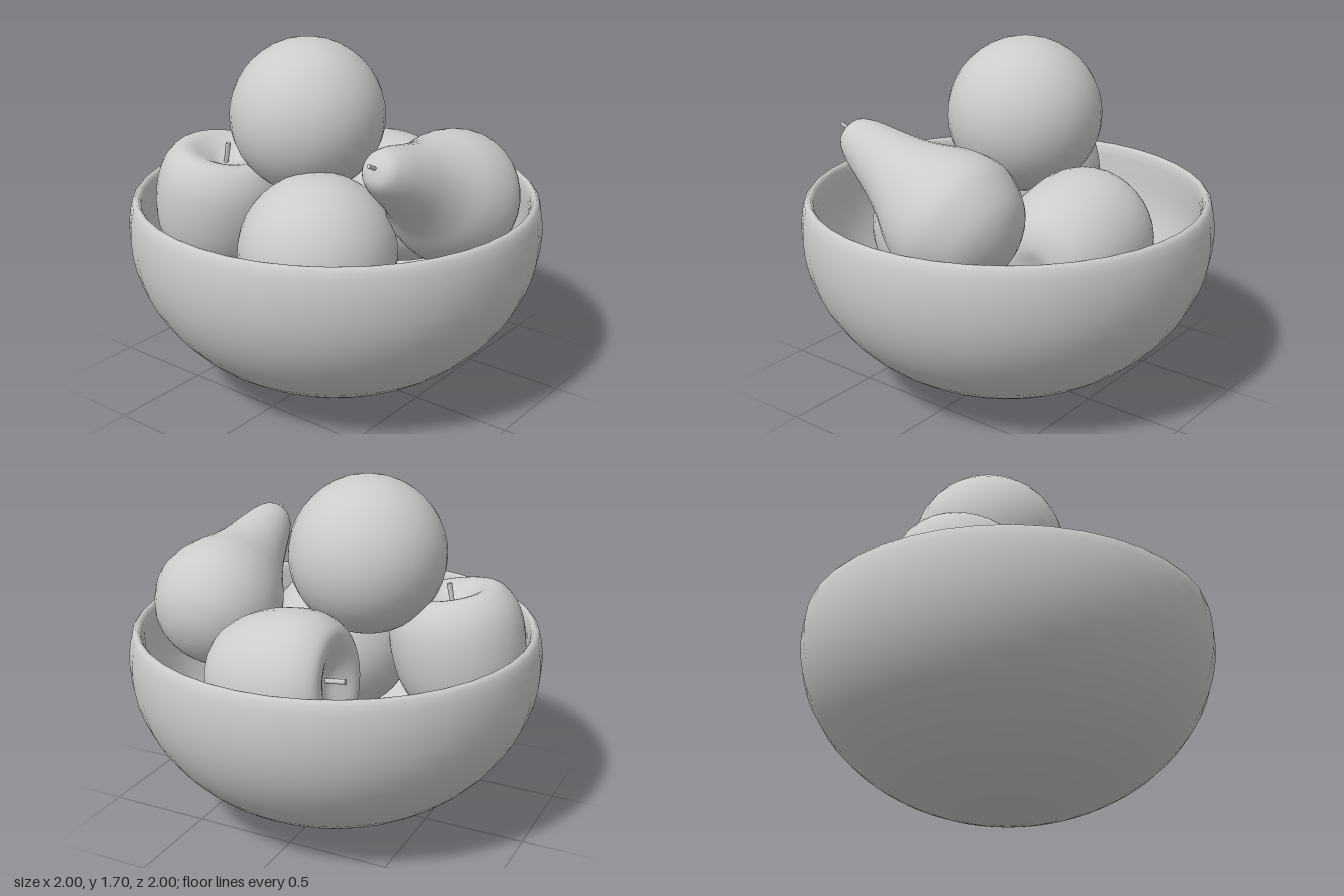
import * as THREE from 'three';

const material = new THREE.MeshStandardMaterial({ color: 0xcccccc });
const UP = new THREE.Vector3(0, 1, 0);

// Smooth solid of revolution; profile runs from the bottom pole upwards
function turned(name, profile, steps, sides) {
  const curve = new THREE.SplineCurve(profile.map(([r, y]) => new THREE.Vector2(r, y)));
  const points = curve.getPoints(steps);
  points.forEach((p) => { p.x = Math.max(p.x, 0); });
  const mesh = new THREE.Mesh(new THREE.LatheGeometry(points, sides), material);
  mesh.name = name;
  return mesh;
}

function stem(name, from, to, radius) {
  const mesh = new THREE.Mesh(new THREE.CylinderGeometry(radius * 1.2, radius, to - from, 6), material);
  mesh.name = name;
  mesh.position.y = (from + to) / 2;
  return mesh;
}

// Place a fruit with its stem axis along a direction
function place(name, parts, position, axis) {
  const group = new THREE.Group();
  group.name = name;
  group.add(...parts);
  group.position.set(...position);
  group.quaternion.setFromUnitVectors(UP, new THREE.Vector3(...axis).normalize());
  return group;
}

function orange(name, position) {
  const mesh = new THREE.Mesh(new THREE.SphereGeometry(0.377, 32, 20), material);
  mesh.name = name;
  mesh.position.set(...position);
  return mesh;
}

const APPLE = [
  [0, -0.31], [0.06, -0.325], [0.13, -0.33], [0.23, -0.275], [0.305, -0.13], [0.329, 0.04],
  [0.313, 0.18], [0.255, 0.275], [0.19, 0.292], [0.115, 0.262], [0.05, 0.23], [0, 0.22],
];
const apple = (name, position, axis) => place(name, [
  turned('appleFlesh', APPLE, 36, 32),
  stem('appleStem', 0.2, 0.325, 0.011),
], position, axis);

const PEAR = [
  [0, -0.31], [0.12, -0.29], [0.24, -0.21], [0.31, -0.08], [0.318, 0.02], [0.285, 0.14],
  [0.225, 0.26], [0.18, 0.37], [0.143, 0.5], [0.113, 0.6], [0.072, 0.67], [0, 0.692],
];

// Quarter-ellipse wall of the bowl, from the bottom pole up to the equator
const BOWL_Y = 0.815;
function shell(rx, ry) {
  const points = [];
  for (let i = 0; i <= 16; i++) {
    const a = (i / 16) * Math.PI / 2;
    points.push(new THREE.Vector2(rx * Math.sin(a), BOWL_Y - ry * Math.cos(a)));
  }
  return points;
}

export function createModel() {
  const model = new THREE.Group();
  model.name = 'fruitBowl';

  // Bowl: round outer shell, soft rim, inner shell
  const rim = [
    [0.997, 0.875], [0.99, 0.925], [0.98, 0.965], [0.965, 0.983],
    [0.95, 0.983], [0.938, 0.965], [0.932, 0.92],
  ].map(([r, y]) => new THREE.Vector2(r, y));
  const profile = [...shell(1, 0.81), ...rim, ...shell(0.93, 0.74).reverse()];
  const bowl = new THREE.Mesh(new THREE.LatheGeometry(profile, 40), material);
  bowl.name = 'bowl';
  model.add(bowl);

  // Fruit
  model.add(
    orange('topOrange', [-0.158, 1.331, 0.018]),
    orange('frontOrange', [0.113, 0.775, 0.285]),
    apple('rightApple', [-0.557, 0.855, 0.22], [0.19, 1, 0]),
    apple('backApple', [0.06, 0.83, -0.438], [-1, 0.12, 0.02]),
    place('pear', [
      turned('pearFlesh', PEAR, 40, 32),
      stem('pearStem', 0.68, 0.74, 0.008),
    ], [0.573, 1.033, -0.14], [0.01, 0.44, 0.9]),
  );
  return model;
}
